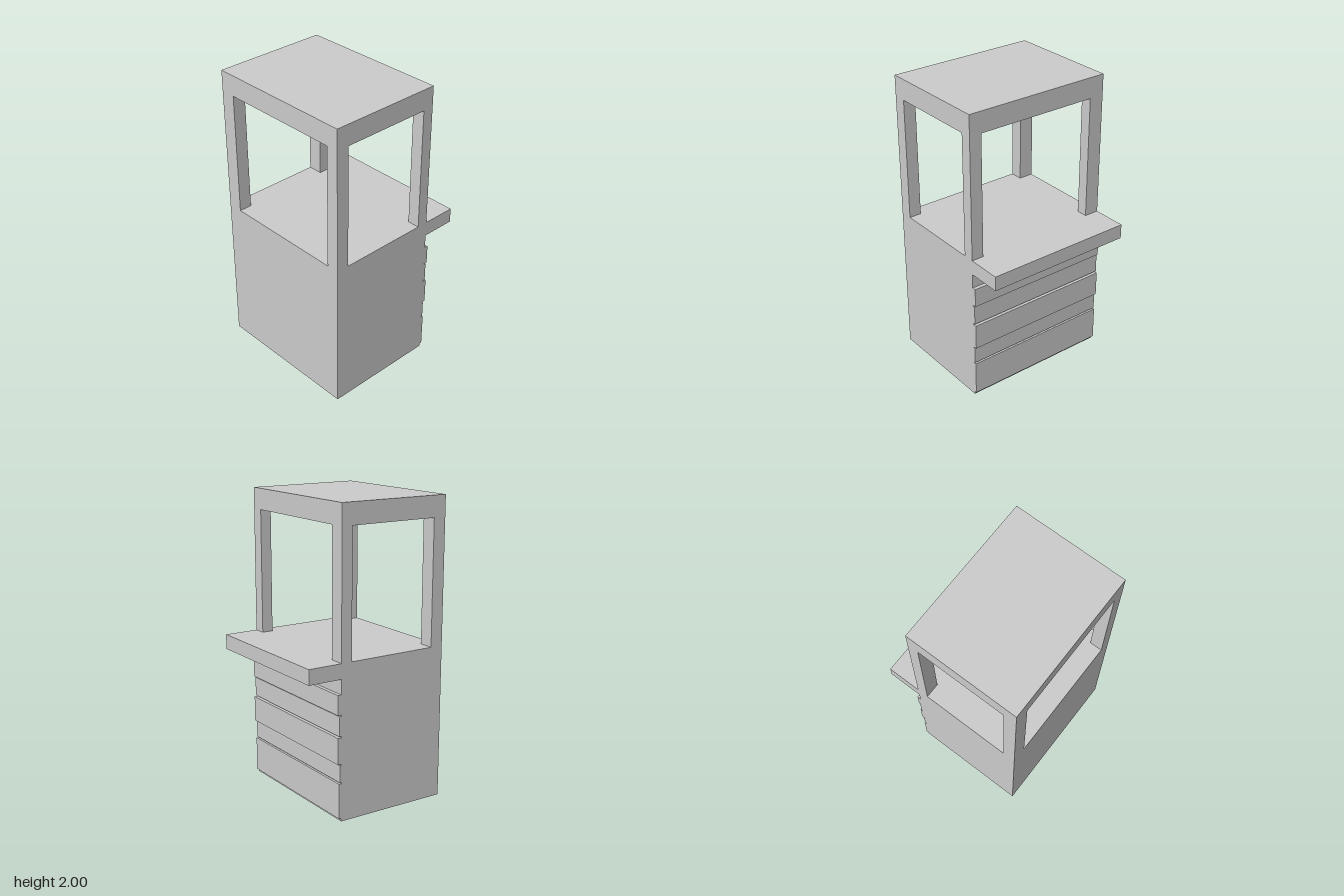
import * as THREE from 'three';

const material = new THREE.MeshStandardMaterial({ color: 0xcccccc, flatShading: true });

// Box given by its minimum and maximum on each axis
function block(name, [x0, x1], [y0, y1], [z0, z1]) {
  const mesh = new THREE.Mesh(new THREE.BoxGeometry(x1 - x0, y1 - y0, z1 - z0), material);
  mesh.name = name;
  mesh.position.set((x0 + x1) / 2, (y0 + y1) / 2, (z0 + z1) / 2);
  return mesh;
}

export function createModel() {
  const group = new THREE.Group();
  group.name = 'kiosk';

  const left = 0.273, right = -0.508;   // side walls of the booth
  const depth = [-0.515, 0.515];
  const counterTop = 1.03, roofBottom = 1.86;

  // Solid lower cabinet and roof slab
  group.add(block('cabinet', [right, left], [0, counterTop], depth));
  group.add(block('roof', [right, left], [roofBottom, 2], depth));

  // Overhanging serving counter
  group.add(block('counter', [left, 0.508], [0.93, counterTop], depth));

  // Four corner posts
  const postsX = [[right, -0.42], [0.197, left]];
  const postsZ = [[-0.515, -0.412], [0.43, 0.515]];
  for (const x of postsX) {
    for (const z of postsZ) group.add(block('cornerPost', x, [counterTop, roofBottom], z));
  }

  // Cladding planks under the counter: bottom, top, outer face
  const planks = [
    [0.02, 0.253, 0.289],
    [0.261, 0.374, 0.283],
    [0.383, 0.556, 0.298],
    [0.565, 0.695, 0.288],
    [0.703, 0.832, 0.298],
  ];
  for (const [y0, y1, face] of planks) group.add(block('plank', [left, face], [y0, y1], depth));

  return group;
}
